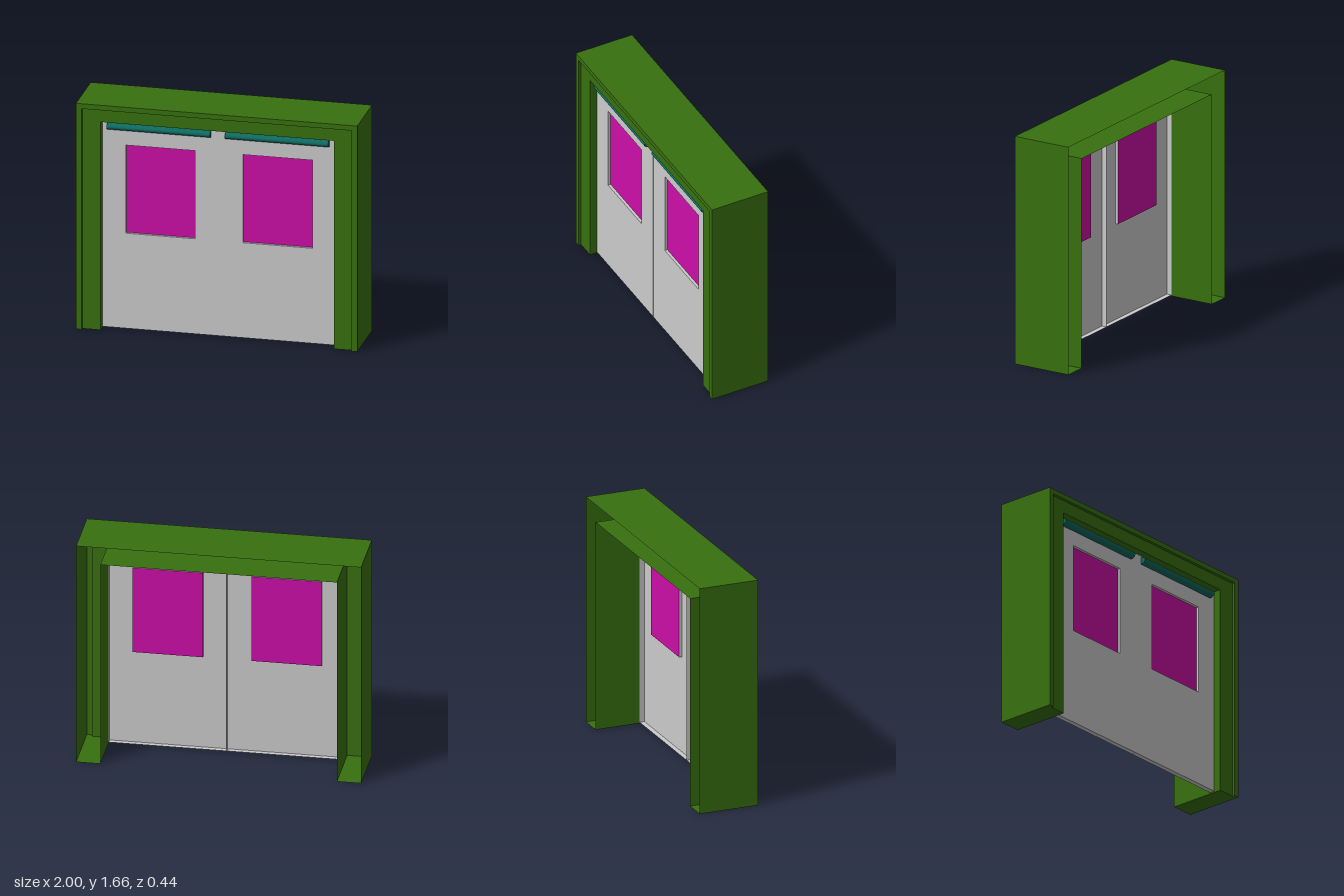
import * as THREE from 'three';

const mat = (color) => new THREE.MeshStandardMaterial({ color, side: THREE.DoubleSide });

// Flat quads joining successive rows of points
function ribbon(rows, closed = false) {
  const pos = [];
  for (let i = 0; i < rows.length - 1; i++) {
    const n = rows[i].length;
    for (let k = 0; k < (closed ? n : n - 1); k++) {
      const m = (k + 1) % n;
      const a = rows[i][k], b = rows[i][m], c = rows[i + 1][m], d = rows[i + 1][k];
      pos.push(...a, ...b, ...c, ...a, ...c, ...d);
    }
  }
  const g = new THREE.BufferGeometry();
  g.setAttribute('position', new THREE.Float32BufferAttribute(pos, 3));
  g.computeVertexNormals();
  return g;
}

const rect = (x0, x1, y0, y1) => [[x0, y0], [x1, y0], [x1, y1], [x0, y1]];
const atZ = (pts, z) => pts.map(([x, y]) => [x, y, z]);
const toV2 = (pts) => pts.map(([x, y]) => new THREE.Vector2(x, y));

export function createModel() {
  const model = new THREE.Group();
  model.name = 'doubleDoor';
  const green = mat(0x38700f), grey = mat(0xcccccc), magenta = mat(0xcc0ea7), teal = mat(0x0e6a60);

  const add = (parent, name, geometry, material) => {
    const mesh = new THREE.Mesh(geometry, material);
    mesh.name = name;
    parent.add(mesh);
    return mesh;
  };

  // Hollow surround, open at the back: [side inset, top inset, z]
  const H = 1.66;
  const section = [
    [0, 0, -0.22], [0, 0, 0.22], [0.04, 0.037, 0.22],
    [0.04, 0.037, 0.2], [0.17, 0.13, 0.2], [0.17, 0.13, -0.22],
  ];
  const arch = section.map(([s, t, z]) => [
    [1 - s, 0, z], [1 - s, H - t, z], [s - 1, H - t, z], [s - 1, 0, z],
  ]);
  add(model, 'doorFrame', ribbon(arch), green);

  // Feet closing the bottom of each leg
  for (const s of [1, -1]) {
    const shape = new THREE.Shape(section.map(([i, , z]) => new THREE.Vector2(s * (1 - i), z)));
    const foot = new THREE.ShapeGeometry(shape).rotateX(Math.PI / 2);
    add(model, s > 0 ? 'leftFoot' : 'rightFoot', foot, green);
  }

  // Rounded bar profile: half ellipse in (z, y), extruded along x
  const barShape = new THREE.Shape();
  barShape.moveTo(0, -0.025);
  barShape.absellipse(0, 0, 0.04, 0.025, -Math.PI / 2, Math.PI / 2, false);
  barShape.closePath();
  const barLength = 0.735;
  const barGeometry = new THREE.ExtrudeGeometry(barShape, {
    depth: barLength, bevelEnabled: false, curveSegments: 12,
  }).translate(0, 0, -barLength / 2).rotateY(Math.PI / 2);
  barGeometry.scale(1, 1, -1);
  // Restore the winding after mirroring
  const p = barGeometry.attributes.position;
  const flipped = [];
  for (let i = 0; i < p.count; i += 3) {
    for (const j of [i, i + 2, i + 1]) flipped.push(p.getX(j), p.getY(j), p.getZ(j));
  }
  barGeometry.setAttribute('position', new THREE.Float32BufferAttribute(flipped, 3));
  barGeometry.computeVertexNormals();

  // Two door leaves: sheet with a window hole, back flange, recessed pane, top bar
  const front = 0.147, back = 0.11, paneZ = 0.127;
  for (const s of [1, -1]) {
    const door = new THREE.Group();
    door.name = s > 0 ? 'leftDoor' : 'rightDoor';
    model.add(door);

    const span = (a, b) => (s > 0 ? [a, b] : [-b, -a]);
    const leaf = rect(...span(0.001, 0.828), 0.008, 1.528);
    const opening = rect(...span(0.17, 0.663), 0.707, 1.355);

    const sheet = new THREE.Shape(toV2(leaf));
    sheet.holes.push(new THREE.Path(toV2(opening)));
    add(door, 'doorSheet', new THREE.ShapeGeometry(sheet).translate(0, 0, front), grey);
    add(door, 'doorFlange', ribbon([atZ(leaf, back), atZ(leaf, front)], true), grey);
    add(door, 'windowReveal', ribbon([atZ(opening, front), atZ(opening, paneZ)], true), grey);
    add(door, 'windowPane',
      new THREE.ShapeGeometry(new THREE.Shape(toV2(opening))).translate(0, 0, paneZ), magenta);
    add(door, 'topBar', barGeometry, teal).position.set(s * 0.42 - 0.003, 1.49, front + 0.001);
  }
  return model;
}
